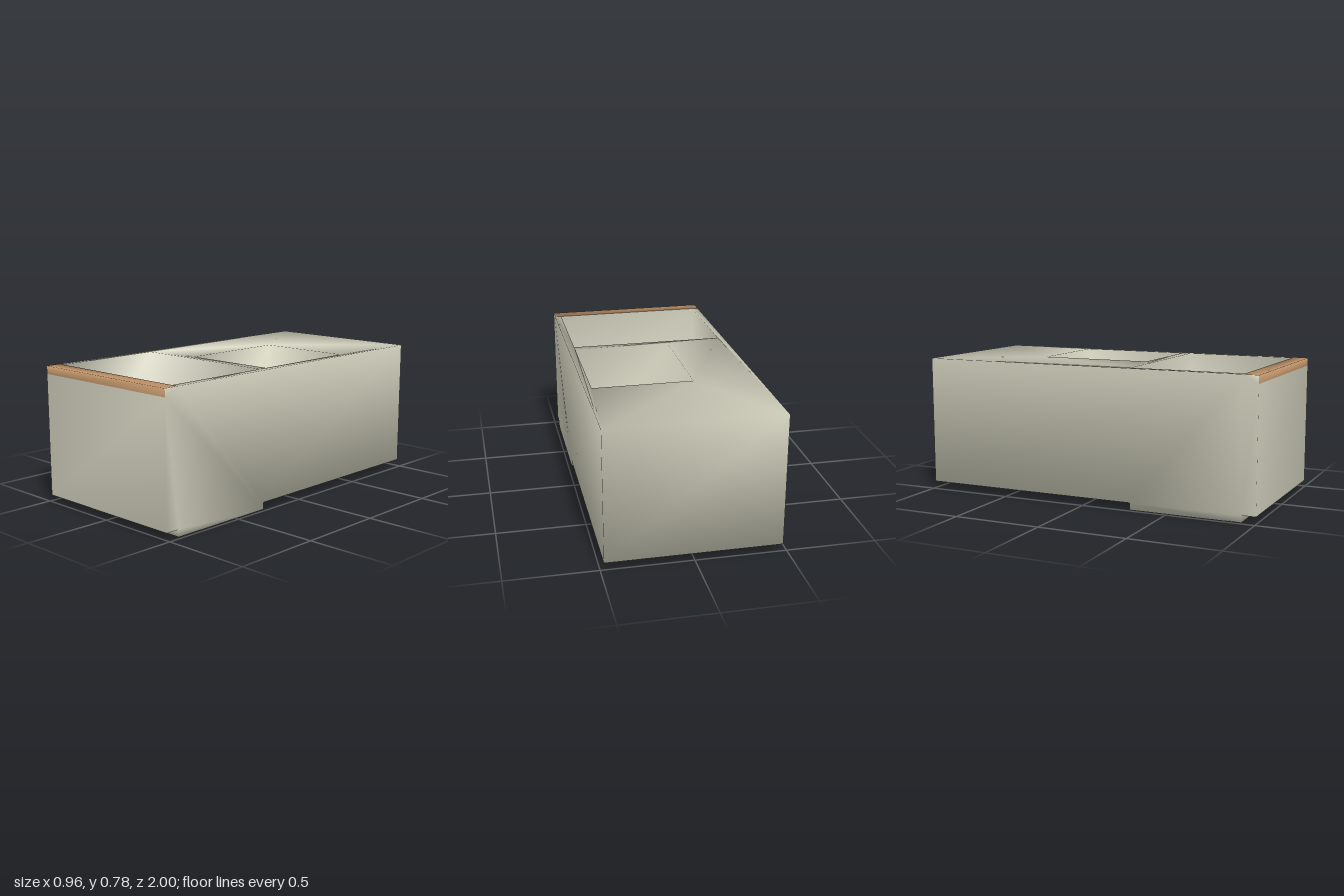
import * as THREE from 'three';
import { mergeGeometries, mergeVertices } from 'three/addons/utils/BufferGeometryUtils.js';

const W = 0.48, TOP = 0.78, RIM = 0.915;

// Flat four-sided face, corners counter-clockwise seen from outside
function quad(a, b, c, d) {
  const g = new THREE.BufferGeometry();
  g.setAttribute('position', new THREE.Float32BufferAttribute([a, b, c, a, c, d].flat(), 3));
  return g;
}

// Flat outline with optional holes, in its own xy plane
function face(points, holes = []) {
  const toVec = (list) => list.map(([x, y]) => new THREE.Vector2(x, y));
  const shape = new THREE.Shape(toVec(points));
  shape.holes = holes.map((h) => new THREE.Path(toVec(h)));
  const g = new THREE.ShapeGeometry(shape).toNonIndexed();
  g.deleteAttribute('normal');
  g.deleteAttribute('uv');
  return g;
}

// Inward-facing walls and floor of an open compartment
function compartment(x0, x1, z0, z1, floor) {
  const c = [[x0, z0], [x1, z0], [x1, z1], [x0, z1]];
  const walls = c.map(([ax, az], i) => {
    const [bx, bz] = c[(i + 1) % 4];
    return quad([ax, floor, az], [bx, floor, bz], [bx, TOP, bz], [ax, TOP, az]);
  });
  const base = quad([x0, floor, z1], [x1, floor, z1], [x1, floor, z0], [x0, floor, z0]);
  return [...walls, base];
}

export function createModel() {
  const shellMaterial = new THREE.MeshStandardMaterial({ color: 0xd2d1be });
  shellMaterial.name = 'pale stone';
  const trimMaterial = new THREE.MeshStandardMaterial({ color: 0xc0946a });
  trimMaterial.name = 'tan trim';

  // Side profile as (z, y), with the shallow foot under the front
  const profile = [
    [1, 0.04], [1, 0.735], [1, TOP], [RIM, TOP], [-1, TOP],
    [-1, 0.04], [0.28, 0.04], [0.28, 0], [0.92, 0], [0.92, 0.04],
  ];
  const shell = [], trim = [];

  // Front, back, underside and the trim band on the front edge
  profile.forEach(([z, y], i) => {
    const [z2, y2] = profile[(i + 1) % profile.length];
    if (i === 3) return; // the top has openings, made below
    const g = quad([-W, y, z], [W, y, z], [W, y2, z2], [-W, y2, z2]);
    (i === 1 || i === 2 ? trim : shell).push(g);
  });

  // Left and right sides
  shell.push(face(profile.map(([z, y]) => [-z, y])).rotateY(Math.PI / 2).translate(W, 0, 0));
  shell.push(face(profile).rotateY(-Math.PI / 2).translate(-W, 0, 0));

  // Top, cut away around the front compartment and pierced by the rear one
  const outline = [
    [-W, -1], [W, -1], [W, RIM], [0.44, RIM], [0.44, 0.27],
    [-0.445, 0.27], [-0.445, RIM], [-W, RIM],
  ];
  const opening = [[-0.12, -0.43], [0.44, -0.43], [0.44, 0.22], [-0.12, 0.22]];
  const flip = (list) => list.map(([x, z]) => [x, -z]);
  shell.push(face(flip(outline), [flip(opening)]).rotateX(-Math.PI / 2).translate(0, TOP, 0));

  // Open compartments
  shell.push(...compartment(-0.445, 0.44, 0.27, RIM, 0.04));
  shell.push(...compartment(-0.12, 0.44, -0.43, 0.22, 0.08));

  // One welded skin, so its normals run smoothly over the edges
  const parts = mergeGeometries([mergeGeometries(shell), mergeGeometries(trim)], true);
  const geometry = mergeVertices(parts, 1e-4);
  geometry.computeVertexNormals();

  const body = new THREE.Mesh(geometry, [shellMaterial, trimMaterial]);
  body.name = 'openTopBox';
  const group = new THREE.Group();
  group.name = 'compartmentBox';
  group.add(body);
  return group;
}
